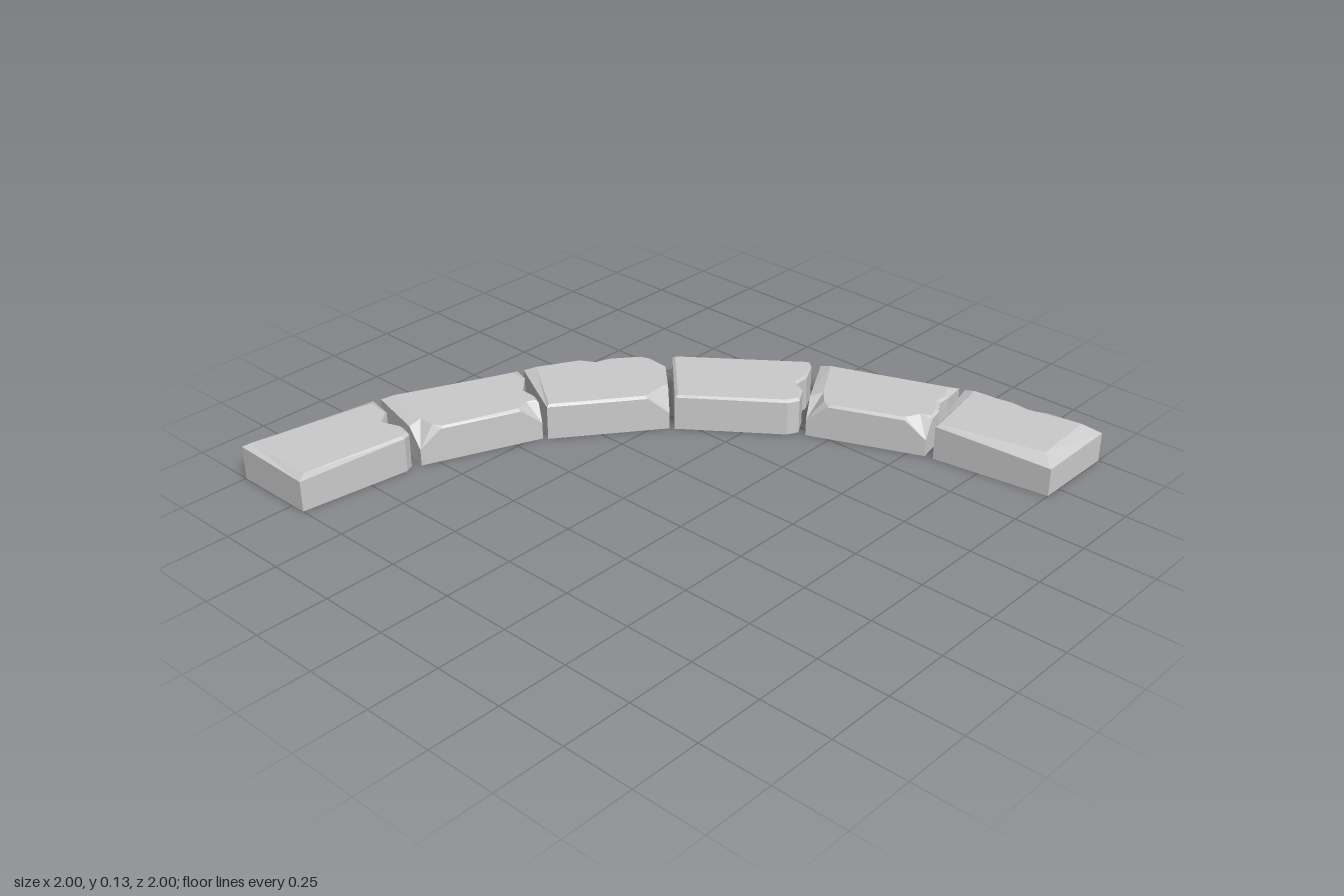
import * as THREE from 'three';

const HEIGHT = 0.13;
const WORN = [0.016, 0.045];  // broad bevel along the outer rim: drop, inset
const CRISP = [0.008, 0.012]; // fine bevel elsewhere
const CHIP = [0.07, 0.06];    // broken corner
const BITE = [0.06, 0.025];   // broken edge

// Stone outlines as [x, z, bevel], clockwise seen from above
const STONES = [
  [[-1, -1, [0.01, 0.03]], [-0.505, -0.94, WORN], [-0.535, -0.83], [-0.573, -0.78, BITE], [-0.565, -0.71],
    [-0.58, -0.66], [-0.61, -0.647], [-1, -0.695, [0.02, 0.025]]],
  [[-0.48, -0.93, WORN], [-0.02, -0.74, WORN], [-0.05, -0.67], [-0.115, -0.61], [-0.12, -0.545],
    [-0.155, -0.475, CHIP], [-0.555, -0.64, CHIP]],
  [[0, -0.73, WORN], [0.165, -0.63, CRISP], [0.21, -0.585, BITE], [0.26, -0.55, CRISP], [0.4, -0.425, CHIP],
    [0.19, -0.205, CHIP], [-0.145, -0.46]],
  [[0.415, -0.4], [0.715, -0.015], [0.695, 0.01], [0.62, 0.05], [0.56, 0.055], [0.535, 0.1],
    [0.47, 0.14], [0.43, 0.12], [0.2, -0.19]],
  [[0.735, 0.02, WORN], [0.925, 0.48, WORN], [0.83, 0.5], [0.78, 0.5], [0.725, 0.535],
    [0.63, 0.555, CHIP], [0.47, 0.17, CHIP]],
  [[0.93, 0.5, WORN], [0.965, 0.67, WORN], [0.957, 0.75, BITE], [0.98, 0.8, WORN], [1, 1, [0.025, 0.07]],
    [0.69, 1, [0.03, 0.06]], [0.635, 0.585]],
];

// Keep a chipped corner local by adding a point on each side of it
function localiseChips(outline) {
  const points = [];
  const between = (from, to) => {
    const length = Math.hypot(to[0] - from[0], to[1] - from[1]);
    const t = Math.min(0.075 / length, 0.45);
    return [from[0] + (to[0] - from[0]) * t, from[1] + (to[1] - from[1]) * t, to[2] === CHIP ? CRISP : to[2]];
  };
  outline.forEach((p, i) => {
    if (p[2] !== CHIP) return points.push(p);
    const n = outline.length;
    points.push(between(p, outline[(i + n - 1) % n]), p, between(p, outline[(i + 1) % n]));
  });
  return points;
}

// Straight-sided block with a bevelled, chipped top
function stoneGeometry(outline) {
  const points = localiseChips(outline);
  const n = points.length;
  const cx = outline.reduce((s, p) => s + p[0], 0) / outline.length;
  const cz = outline.reduce((s, p) => s + p[1], 0) / outline.length;
  const base = [], shoulder = [], top = [];
  for (const [x, z, bevel = CRISP] of points) {
    const [drop, inset] = bevel;
    const k = inset / Math.hypot(cx - x, cz - z);
    base.push([x, 0, z]);
    shoulder.push([x, HEIGHT - drop, z]);
    top.push([x + (cx - x) * k, HEIGHT, z + (cz - z) * k]);
  }
  const position = [];
  const triangle = (a, b, c) => position.push(...a, ...b, ...c);
  for (const [low, high] of [[base, shoulder], [shoulder, top]]) {
    for (let i = 0; i < n; i++) {
      const j = (i + 1) % n;
      triangle(low[i], high[i], high[j]);
      triangle(low[i], high[j], low[j]);
    }
  }
  // Caps: top faces up, base faces down
  for (const [ring, up] of [[top, true], [base, false]]) {
    const flat = ring.map(([x, , z]) => new THREE.Vector2(x, z));
    for (const [a, b, c] of THREE.ShapeUtils.triangulateShape(flat, [])) {
      const facesUp = flat[b].clone().sub(flat[a]).cross(flat[c].clone().sub(flat[a])) < 0;
      if (facesUp === up) triangle(ring[a], ring[b], ring[c]);
      else triangle(ring[a], ring[c], ring[b]);
    }
  }
  const geometry = new THREE.BufferGeometry();
  geometry.setAttribute('position', new THREE.Float32BufferAttribute(position, 3));
  geometry.computeVertexNormals();
  return geometry;
}

export function createModel() {
  const model = new THREE.Group();
  model.name = 'curvedStoneBorder';
  const material = new THREE.MeshStandardMaterial({ color: 0xcccccc, flatShading: true });
  STONES.forEach((outline, i) => {
    const stone = new THREE.Mesh(stoneGeometry(outline), material);
    stone.name = `stone${i + 1}`;
    model.add(stone);
  });
  return model;
}
